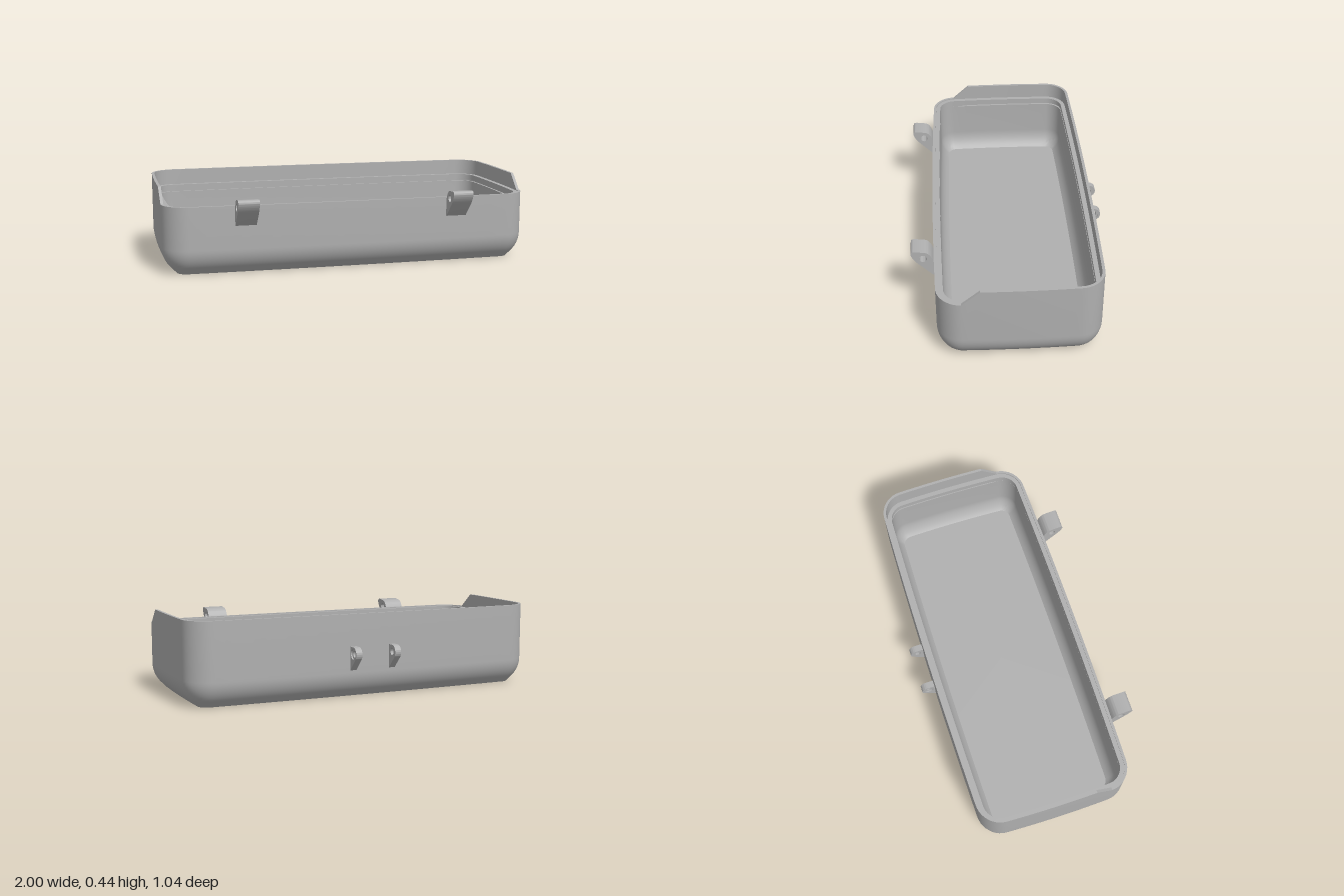
import * as THREE from 'three';
import { toCreasedNormals } from 'three/addons/utils/BufferGeometryUtils.js';

const HX = 1, HZ = 0.4275, CZ = -0.0175, RADIUS = 0.125;
const RAMP = 0.157; // share of each end wall taken by the sloping lip end
const STEPS = [0.05, RAMP, 0.25, 0.35, 0.45, 0.55, 0.65, 0.75, 1 - RAMP, 0.95];
const ARC = 10;

// Columns around the rounded rectangle: position for an inset, and lip height (0..1)
function makeColumns() {
  const columns = [];
  const corner = (q, a) => (inset) => {
    const r = Math.max(RADIUS - inset, 0.05);
    const sx = q === 0 || q === 3 ? 1 : -1, sz = q < 2 ? 1 : -1;
    return [sx * (HX - inset - r) + r * Math.cos(a), sz * (HZ - inset - r) + r * Math.sin(a)];
  };
  for (let q = 0; q < 4; q++) {
    const start = q * Math.PI / 2, end = start + Math.PI / 2;
    for (let k = 0; k <= ARC; k++) {
      columns.push({ at: corner(q, start + (end - start) * k / ARC), lift: q < 2 ? 0 : 1 });
    }
    const from = corner(q, end), to = corner((q + 1) % 4, end);
    for (const t of STEPS) {
      const lift = [0, Math.min(1, t / RAMP), 1, Math.min(1, (1 - t) / RAMP)][q];
      columns.push({
        at: (inset) => {
          const a = from(inset), b = to(inset);
          return [a[0] + (b[0] - a[0]) * t, a[1] + (b[1] - a[1]) * t];
        },
        lift,
      });
    }
  }
  return columns;
}

// Slope of 45 degrees easing into a vertical wall, as [inset, y]
function curvedFoot(inset, y, straight, radius) {
  const pts = [[inset + 0.2929 * radius + straight, y]];
  for (let i = 0; i <= 8; i++) {
    const a = Math.PI / 4 * (1 - i / 8);
    pts.push([
      inset + radius * (1 - Math.cos(a)),
      y + straight + radius * (Math.SQRT1_2 - Math.sin(a)),
    ]);
  }
  return pts;
}

// Wall section from outer bottom edge, over the lip, to the inner floor edge
function wallProfile(lift) {
  const top = 0.365 + 0.08 * lift;
  const groove = 0.04 - 0.012 * Math.max(lift, 0.02);
  return [
    ...curvedFoot(0, 0, 0.031, 0.15),
    [0, top], [0.015, top], [0.015, 0.36],
    [0.04, 0.36], [0.04, 0.33], [groove, 0.33], [groove, 0.32], [0.04, 0.32],
    ...curvedFoot(0.04, 0.03, 0.004, 0.14).reverse(),
  ];
}

function trayGeometry() {
  const columns = makeColumns();
  const n = columns.length, rows = wallProfile(0).length;
  const pos = [], index = [];
  for (const { at, lift } of columns) {
    for (const [inset, y] of wallProfile(lift)) {
      const [x, z] = at(inset);
      // gently bowed sides
      pos.push(x * (1 - 0.012 * (z / HZ) ** 2), y, CZ + z * (1 - 0.035 * x * x));
    }
  }
  const under = n * rows, floor = under + 1;
  pos.push(0, 0, CZ, 0, 0.03, CZ);
  for (let i = 0; i < n; i++) {
    const a = i * rows, b = ((i + 1) % n) * rows;
    for (let j = 0; j < rows - 1; j++) {
      index.push(a + j, a + j + 1, b + j, b + j, a + j + 1, b + j + 1);
    }
    index.push(under, a, b, floor, b + rows - 1, a + rows - 1);
  }
  const g = new THREE.BufferGeometry();
  g.setAttribute('position', new THREE.Float32BufferAttribute(pos, 3));
  g.setIndex(index);
  return toCreasedNormals(g, 0.5);
}

// Extrude a side outline (horizontal axis = -z) across x, centred on x
function sideExtrude(shape, width, x) {
  const g = new THREE.ExtrudeGeometry(shape, { depth: width, bevelEnabled: false, curveSegments: 16 });
  g.rotateY(Math.PI / 2);
  g.translate(x - width / 2, 0, 0);
  return toCreasedNormals(g, 0.5);
}

function clipShape() {
  const s = new THREE.Shape();
  s.moveTo(-0.39, 0.26);
  s.lineTo(-0.39, 0.335);
  s.lineTo(-0.405, 0.342);
  s.quadraticCurveTo(-0.42, 0.398, -0.45, 0.403);
  s.lineTo(-0.5, 0.409);
  s.quadraticCurveTo(-0.52, 0.409, -0.52, 0.392);
  s.quadraticCurveTo(-0.516, 0.37, -0.488, 0.338);
  s.lineTo(-0.412, 0.262);
  s.closePath();
  s.holes.push(new THREE.Path().absarc(-0.458, 0.365, 0.02, 0, Math.PI * 2, true));
  return s;
}

function lugShape(hole) {
  const s = new THREE.Shape();
  s.moveTo(0.42, 0.145);
  s.lineTo(0.441, 0.145);
  s.lineTo(0.506, 0.212);
  s.absarc(0.48, 0.238, 0.037, -Math.PI / 4, Math.PI / 2, false);
  s.lineTo(0.42, 0.275);
  s.closePath();
  s.holes.push(hole);
  return s;
}

export function createModel() {
  const group = new THREE.Group();
  const grey = new THREE.MeshStandardMaterial({ color: 0xb0b0b0 });
  grey.name = 'grey plastic';
  const add = (name, geometry) => {
    const mesh = new THREE.Mesh(geometry, grey);
    mesh.name = name;
    group.add(mesh);
  };

  add('tray', trayGeometry());

  // Teardrop pin hole and its round recess
  const pinHole = new THREE.Path();
  pinHole.absarc(0.479, 0.238, 0.017, Math.PI * 0.25, Math.PI * 0.75, true);
  pinHole.lineTo(0.479, 0.262);
  pinHole.closePath();
  const recess = new THREE.Path().absarc(0.479, 0.238, 0.027, 0, Math.PI * 2, true);

  for (const [side, s] of [['left', 1], ['right', -1]]) {
    add(side + 'FrontClip', sideExtrude(clipShape(), 0.11, s * 0.572));
    add(side + 'HingeLug', sideExtrude(lugShape(pinHole), 0.027, s * 0.109));
    add(side + 'HingeRecess', sideExtrude(lugShape(recess), 0.008, s * 0.1265));
  }
  return group;
}
